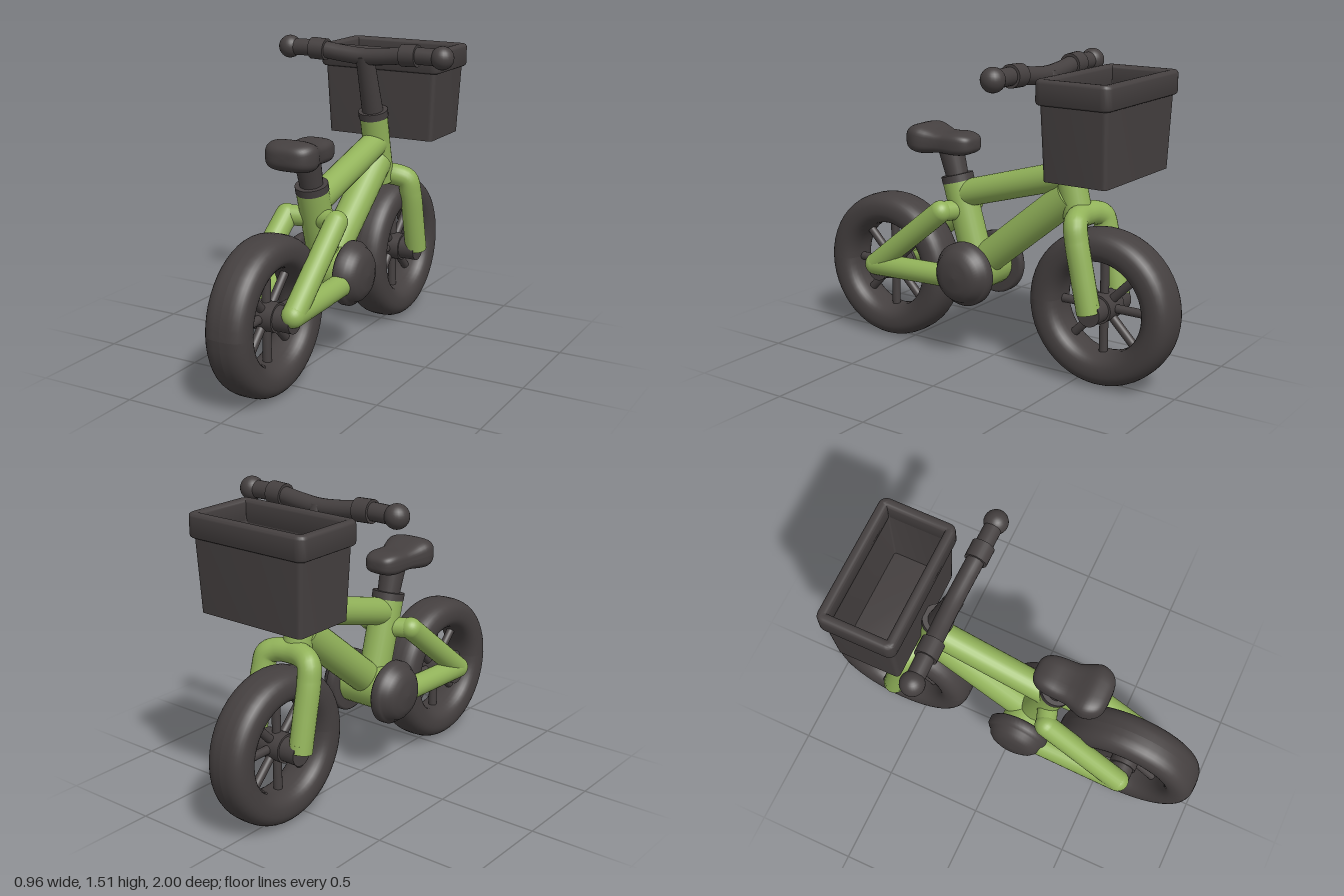
import * as THREE from 'three';
import { toCreasedNormals } from 'three/addons/utils/BufferGeometryUtils.js';

const V = (x, y, z) => new THREE.Vector3(x, y, z);
const UP = V(0, 1, 0);

export function createModel() {
  const bike = new THREE.Group();
  bike.name = 'bicycle';
  const green = new THREE.MeshStandardMaterial({ color: 0x92b35a });
  green.name = 'leaf green';
  const dark = new THREE.MeshStandardMaterial({ color: 0x454040 });
  dark.name = 'charcoal';

  const add = (name, geo, mat, parent = bike) => {
    const mesh = new THREE.Mesh(geo, mat);
    mesh.name = name;
    parent.add(mesh);
    return mesh;
  };
  // Straight tube from a to b, with flat or rounded ends
  const rod = (name, a, b, r, mat, { rTop = r, round = false, parent = bike } = {}) => {
    const len = a.distanceTo(b);
    const geo = round ? new THREE.CapsuleGeometry(r, len, 8, 24) : new THREE.CylinderGeometry(rTop, r, len, 24);
    const mesh = add(name, geo, mat, parent);
    mesh.position.copy(a).lerp(b, 0.5);
    mesh.quaternion.setFromUnitVectors(UP, b.clone().sub(a).normalize());
    return mesh;
  };
  // Profile of [radius, x] points turned about the x axis
  const turned = (points) =>
    new THREE.LatheGeometry(points.map(([r, x]) => new THREE.Vector2(r, x)), 48).rotateZ(-Math.PI / 2);

  // Wheels: soft fat tyre, hub and eight spokes
  const tyre = [];
  for (let i = 0; i <= 32; i++) {
    const a = (-i / 32) * Math.PI * 2;
    const s = Math.sin(a), c = Math.cos(a);
    tyre.push([0.2975 + 0.0775 * Math.sign(c) * Math.abs(c) ** 0.85,
      -0.106 * Math.sign(s) * Math.abs(s) ** 0.7]);
  }
  for (const [name, z] of [['rearWheel', 0.623], ['frontWheel', -0.623]]) {
    const wheel = new THREE.Group();
    wheel.name = name;
    wheel.position.set(0, 0.378, z);
    bike.add(wheel);
    add('tyre', turned(tyre), dark, wheel);
    rod('hub', V(-0.065, 0, 0), V(0.065, 0, 0), 0.07, dark, { parent: wheel });
    rod('axle', V(-0.15, 0, 0), V(0.15, 0, 0), 0.06, dark, { parent: wheel });
    for (let i = 0; i < 8; i++) {
      const a = (i * Math.PI) / 4;
      const d = V(0, Math.sin(a), Math.cos(a));
      rod('spoke', d.clone().multiplyScalar(0.04), d.clone().multiplyScalar(0.24), 0.021, dark, { parent: wheel });
    }
  }
  for (const mesh of bike.getObjectsByProperty('name', 'tyre')) mesh.geometry.computeVertexNormals();

  // Main frame
  rod('seatTube', V(0, 0.45, 0.09), V(0, 0.87, 0.215), 0.078, green);
  rod('topTube', V(0, 0.81, 0.17), V(0, 0.975, -0.41), 0.068, green);
  rod('downTube', V(0, 0.49, 0.05), V(0, 0.88, -0.43), 0.08, green);
  rod('headTube', V(0, 0.77, -0.478), V(0, 1.12, -0.395), 0.07, green);
  rod('bottomBracket', V(-0.118, 0.45, 0.08), V(0.118, 0.45, 0.08), 0.11, green);

  // Stays and crank discs on both sides
  for (const s of [1, -1]) {
    rod('seatStay', V(s * 0.135, 0.735, 0.225), V(s * 0.147, 0.405, 0.632), 0.055, green, { round: true });
    rod('chainStay', V(s * 0.147, 0.405, 0.632), V(s * 0.14, 0.42, 0.12), 0.056, green, { round: true });
    rod('stayBridge', V(0, 0.73, 0.18), V(s * 0.135, 0.735, 0.225), 0.05, green);
    const disc = add('crankDisc', turned([
      [0, 0.11], [0.145, 0.11], [0.158, 0.122], [0.158, 0.152], [0.148, 0.166],
      [0.138, 0.172], [0.128, 0.195], [0.105, 0.215], [0.07, 0.228], [0, 0.234]]), dark);
    disc.position.set(0, 0.445, 0.08);
    if (s < 0) disc.rotation.y = Math.PI;
  }

  // Fork: one arched tube over the front wheel, closed by flat tips
  const foot = V(0.14, 0.385, -0.62), shoulder = V(0.138, 0.7, -0.552), bend = V(0.125, 0.775, -0.535);
  const mirror = (p) => V(-p.x, p.y, p.z);
  const arch = new THREE.CatmullRomCurve3([foot, V(0.14, 0.55, -0.585), shoulder, bend, V(0.075, 0.797, -0.515),
    V(0, 0.8, -0.505), V(-0.075, 0.797, -0.515), mirror(bend), mirror(shoulder), V(-0.14, 0.55, -0.585), mirror(foot)]);
  add('fork', new THREE.TubeGeometry(arch, 80, 0.056, 20), green);
  for (const s of [1, -1]) {
    rod('forkTip', V(s * 0.14, 0.38, -0.621), V(s * 0.14, 0.42, -0.613), 0.056, green);
  }

  // Saddle: softened ellipsoid, wide and tall at the back
  rod('seatCollar', V(0, 0.865, 0.213), V(0, 0.9, 0.222), 0.08, dark);
  rod('seatPost', V(0, 0.88, 0.217), V(0, 1.04, 0.262), 0.055, dark, { rTop: 0.064 });
  const saddle = new THREE.SphereGeometry(1, 40, 32).rotateX(Math.PI / 2);
  const pos = saddle.attributes.position;
  const soft = (v) => Math.sign(v) * Math.abs(v) ** 0.6;
  for (let i = 0; i < pos.count; i++) {
    const z = soft(pos.getZ(i));
    const back = THREE.MathUtils.smoothstep(z, -0.1, 0.6);
    const front = THREE.MathUtils.smoothstep(-z, 0.1, 0.7);
    const top = 1.108 + 0.034 * back + 0.008 * front;
    const bottom = 1.008 - 0.012 * back - 0.008 * front;
    const half = (top - bottom) / 2;
    pos.setXYZ(i, soft(pos.getX(i)) * (0.097 + 0.04 * back),
      (top + bottom) / 2 + soft(pos.getY(i)) * half * 1.05, 0.293 + z * 0.186);
  }
  saddle.computeVertexNormals();
  add('saddle', saddle, dark);

  // Stem and handlebar
  rod('headCollar', V(0, 1.115, -0.396), V(0, 1.15, -0.388), 0.075, dark);
  rod('stem', V(0, 1.12, -0.392), V(0, 1.44, -0.295), 0.054, dark, { rTop: 0.045 });
  const bar = new THREE.CatmullRomCurve3([V(-0.42, 1.455, -0.287), V(-0.25, 1.455, -0.289), V(-0.12, 1.44, -0.295),
    V(0, 1.432, -0.298), V(0.12, 1.44, -0.295), V(0.25, 1.455, -0.289), V(0.42, 1.455, -0.287)]);
  add('handlebar', new THREE.TubeGeometry(bar, 48, 0.042, 20), dark);
  for (const s of [1, -1]) {
    rod('gripCollar', V(s * 0.21, 1.453, -0.289), V(s * 0.293, 1.456, -0.288), 0.054, dark);
    add('gripEnd', new THREE.SphereGeometry(0.057, 24, 16), dark).position.set(s * 0.422, 1.455, -0.287);
  }

  // Basket: tapered walls, floor and a thick rounded rim
  const rounded = (Type, w, d, r) => {
    const p = new Type(), x = w / 2, y = d / 2;
    p.moveTo(-x + r, -y).lineTo(x - r, -y).quadraticCurveTo(x, -y, x, -y + r)
      .lineTo(x, y - r).quadraticCurveTo(x, y, x - r, y).lineTo(-x + r, y)
      .quadraticCurveTo(-x, y, -x, y - r).lineTo(-x, -y + r).quadraticCurveTo(-x, -y, -x + r, -y);
    return p;
  };
  const ring = (w, d, iw, id, height, bevel) => {
    const shape = rounded(THREE.Shape, w - 2 * bevel, d - 2 * bevel, 0.025);
    if (iw) shape.holes.push(rounded(THREE.Path, iw + 2 * bevel, id + 2 * bevel, 0.015));
    return new THREE.ExtrudeGeometry(shape, {
      depth: height - 2 * bevel, bevelEnabled: bevel > 0, bevelThickness: bevel, bevelSize: bevel,
      bevelSegments: 4, curveSegments: 5,
    }).translate(0, 0, bevel).rotateX(-Math.PI / 2);
  };
  const taper = (geo) => {
    const p = geo.attributes.position;
    for (let i = 0; i < p.count; i++) {
      const k = 0.93 + 0.07 * (p.getY(i) / 0.4);
      p.setX(i, p.getX(i) * k);
      p.setZ(i, p.getZ(i) * k);
    }
    geo.computeVertexNormals();
    return toCreasedNormals(geo, 0.6);
  };
  const basket = new THREE.Group();
  basket.name = 'basket';
  basket.position.set(0, 1.003, -0.62);
  bike.add(basket);
  add('basketWalls', taper(ring(0.625, 0.345, 0.575, 0.295, 0.4, 0)), dark, basket);
  add('basketFloor', taper(ring(0.622, 0.342, 0, 0, 0.025, 0.006)), dark, basket);
  add('basketRim', toCreasedNormals(ring(0.666, 0.38, 0.57, 0.285, 0.115, 0.018), 0.6), dark, basket)
    .position.y = 0.342;

  return bike;
}
